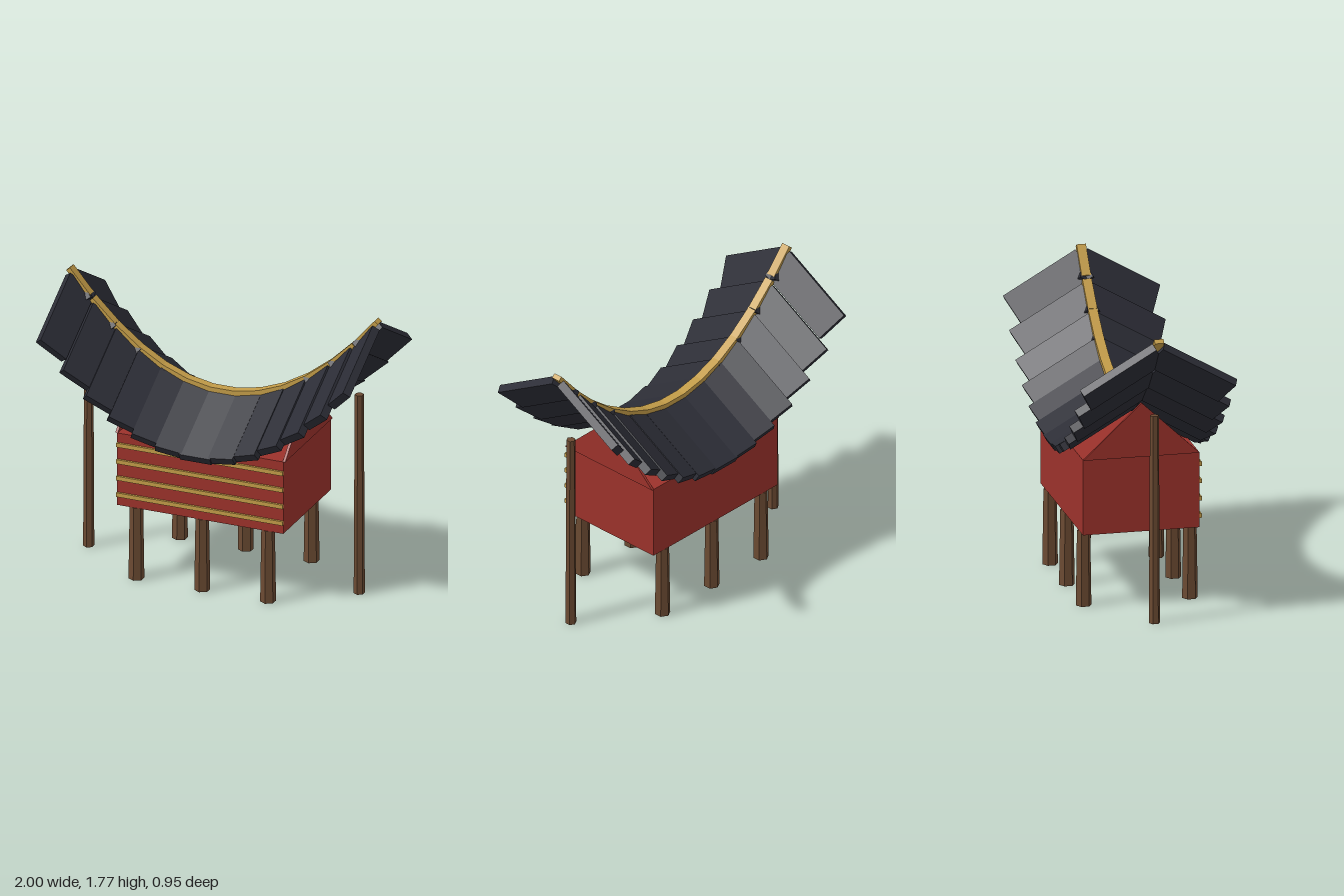
import * as THREE from 'three';

const flat = (name, color) => {
  const m = new THREE.MeshStandardMaterial({ color, flatShading: true });
  m.name = name;
  return m;
};

export function createModel() {
  const red = flat('red wall', 0x9c322b);
  const wood = flat('brown wood', 0x6b4a32);
  const gold = flat('gold trim', 0xc39c48);
  const dark = flat('dark roof', 0x2c2d36);

  const model = new THREE.Group();
  model.name = 'stiltHouse';

  const add = (name, geometry, material, x, y, z) => {
    const mesh = new THREE.Mesh(geometry, material);
    mesh.name = name;
    mesh.position.set(x, y, z);
    model.add(mesh);
    return mesh;
  };

  // Body on six tapered stilts
  add('body', new THREE.BoxGeometry(1.06, 0.46, 0.7), red, 0, 0.69, 0);
  const stilt = new THREE.CylinderGeometry(0.04, 0.047, 0.46, 6);
  for (const x of [-0.42, 0, 0.42]) {
    for (const z of [-0.32, 0.32]) add('stilt', stilt, wood, x, 0.23, z);
  }

  // Gold bands across the front wall
  const band = new THREE.BoxGeometry(1.06, 0.026, 0.015);
  for (let i = 0; i < 4; i++) add('frontBand', band, gold, 0, 0.53 + i * 0.106, 0.3575);

  // Triangular gable plates and the tall posts beyond them
  const triangle = new THREE.Shape();
  triangle.moveTo(-0.35, 0);
  triangle.lineTo(0.35, 0);
  triangle.lineTo(0, 0.33);
  const gable = new THREE.ExtrudeGeometry(triangle, { depth: 0.016, bevelEnabled: false });
  gable.translate(0, 0, -0.008).rotateY(Math.PI / 2);
  const post = new THREE.CylinderGeometry(0.027, 0.033, 1.27, 6);
  for (const side of [-1, 1]) {
    add('gable', gable, red, side * 0.534, 0.92, 0);
    add('gablePost', post, wood, side * 0.863, 0.635, 0);
  }

  // Saddle roof: tilted panels and ridge caps along a parabola
  const count = 13, spacing = 0.153, bend = 0.635, slope = 0.525;
  const panel = new THREE.BoxGeometry(0.2, 0.05, 0.505);
  const cap = new THREE.BoxGeometry(0.2, 0.03, 0.056);
  for (let i = 0; i < count; i++) {
    const x = (i - (count - 1) / 2) * spacing;
    const rise = bend * x * x;
    const angle = Math.atan(2 * bend * x);
    for (const side of [-1, 1]) {
      const mesh = add('roofPanel', panel, dark, x, 1.0 + rise, side * 0.209);
      mesh.rotation.set(side * slope, 0, angle);
    }
    add('ridgeCap', cap, gold, x, 1.148 + rise, 0).rotation.z = angle;
  }

  return model;
}
